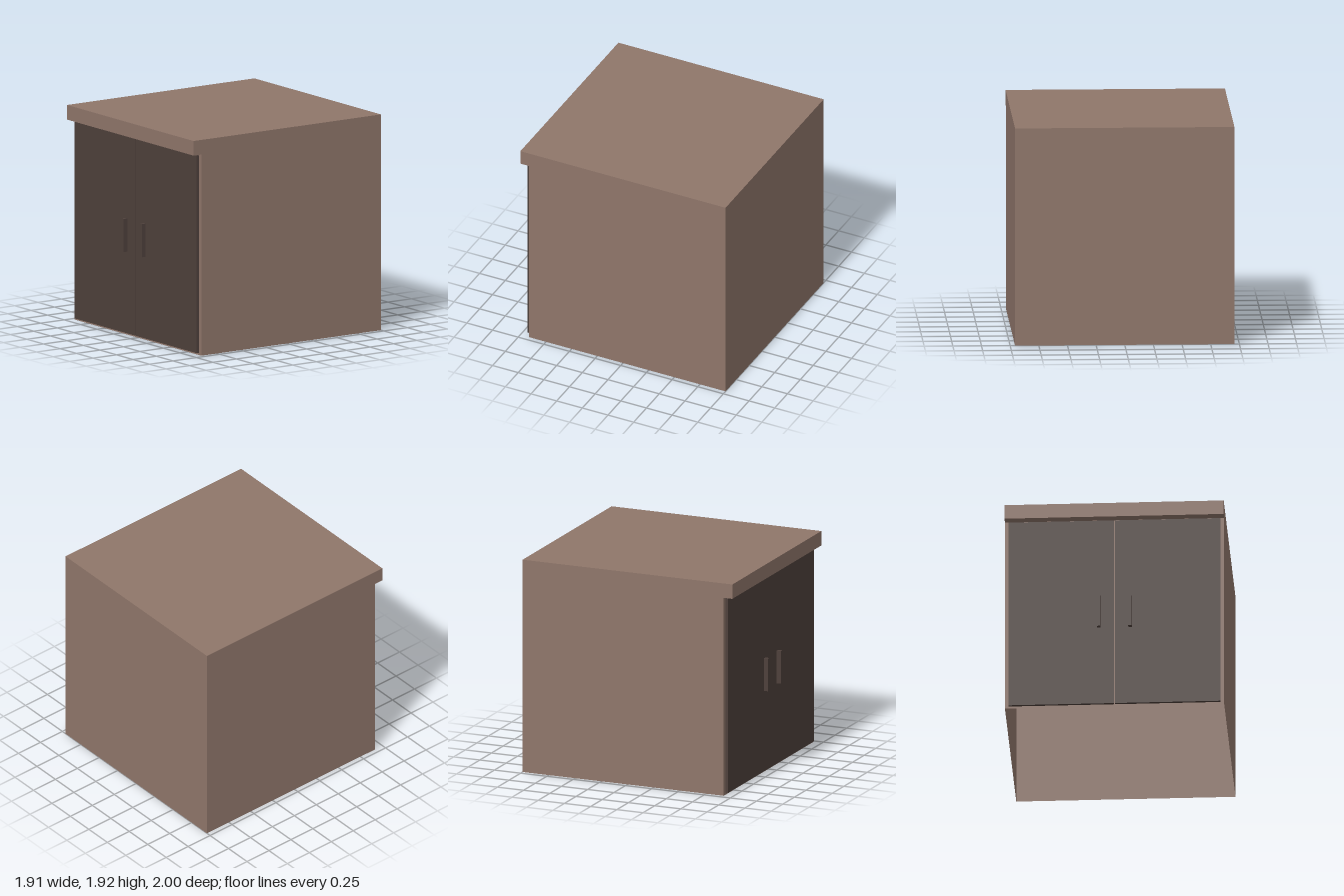
import * as THREE from 'three';

export function createModel() {
  const model = new THREE.Group();
  model.name = 'cabinet';

  const wood = new THREE.MeshStandardMaterial({ color: 0x8f766a, side: THREE.DoubleSide });
  wood.name = 'light brown wood';
  const darkWood = new THREE.MeshStandardMaterial({ color: 0x4e403b });
  darkWood.name = 'dark brown wood';

  const add = (name, geometry, material, x = 0, y = 0, z = 0) => {
    const mesh = new THREE.Mesh(geometry, material);
    mesh.name = name;
    mesh.position.set(x, y, z);
    model.add(mesh);
    return mesh;
  };

  const halfWidth = 0.957;

  // Side outline as [z, y]: front wall, overhanging top, back wall; open underneath
  const profile = [[0.918, 0], [0.918, 1.79], [1, 1.79], [1, 1.92], [-1, 1.92], [-1, 0]];

  // Thin walls swept across the width, one flat panel per profile segment
  const wallNames = ['frontPanel', 'overhangUnderside', 'topFrontEdge', 'top', 'backPanel'];
  wallNames.forEach((name, i) => {
    const [z0, y0] = profile[i];
    const [z1, y1] = profile[i + 1];
    const panel = new THREE.PlaneGeometry(2 * halfWidth, Math.hypot(z1 - z0, y1 - y0));
    panel.rotateX(Math.atan2(z1 - z0, y1 - y0));
    add(name, panel, wood, 0, (y0 + y1) / 2, (z0 + z1) / 2);
  });

  // Side walls: the outline turned to face +x, and its mirror
  const outline = new THREE.Shape(profile.map(([z, y]) => new THREE.Vector2(-z, y)));
  const sideWall = new THREE.ShapeGeometry(outline).rotateY(Math.PI / 2);
  const mirrorWall = new THREE.ShapeGeometry(
    new THREE.Shape(profile.map(([z, y]) => new THREE.Vector2(z, y)))
  ).rotateY(-Math.PI / 2);
  add('leftSide', sideWall, wood, halfWidth);
  add('rightSide', mirrorWall, wood, -halfWidth);

  // Pair of doors with upright bar handles
  for (const [side, s] of [['left', 1], ['right', -1]]) {
    add(side + 'Door', new THREE.BoxGeometry(0.921, 1.757, 0.025), darkWood, s * 0.4645, 0.8985, 0.9315);
    add(side + 'Handle', new THREE.BoxGeometry(0.03, 0.295, 0.04), darkWood, s * 0.137, 0.8955, 0.964);
  }

  return model;
}
